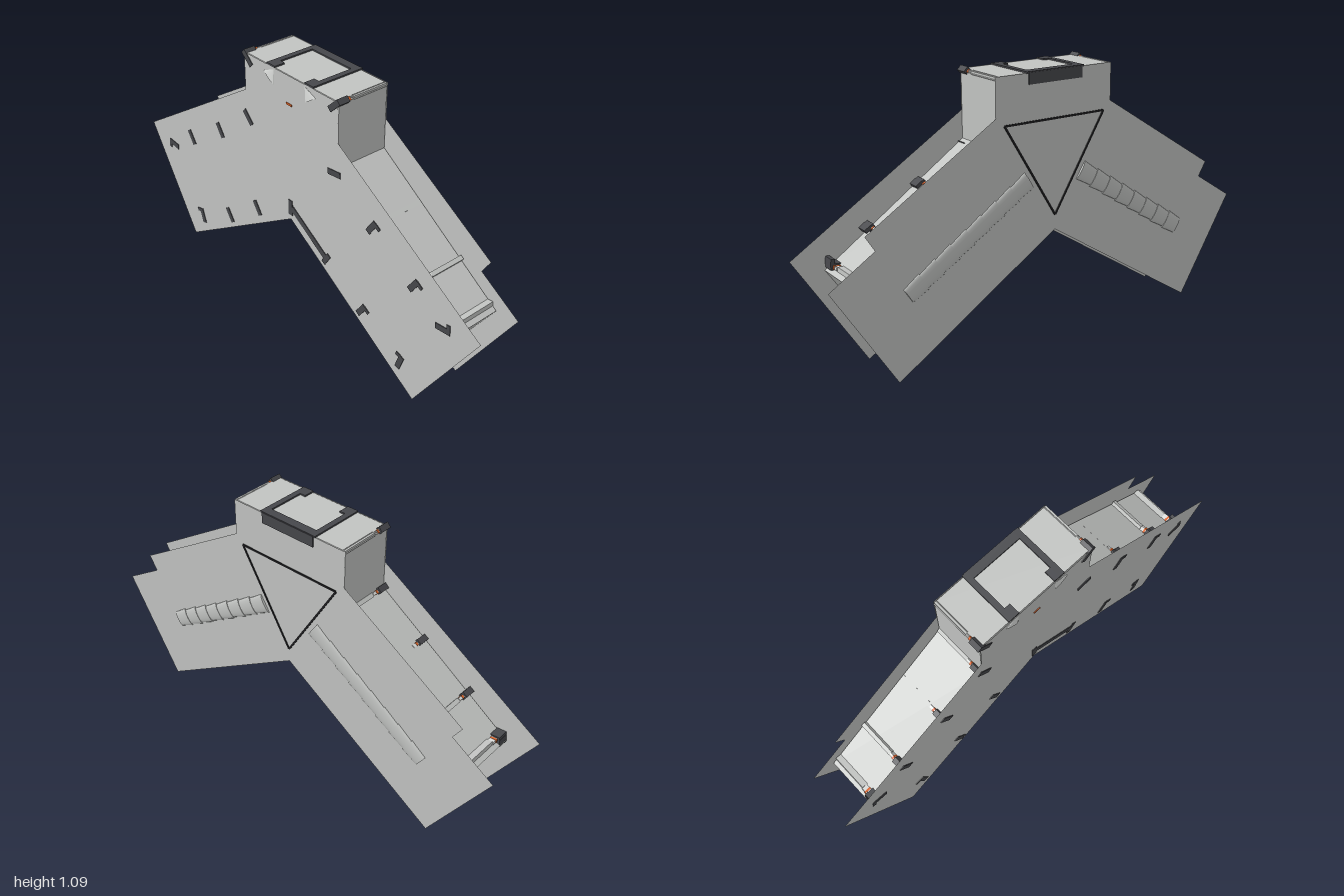
import * as THREE from 'three';

const mat = (name, color, side = THREE.FrontSide) => {
  const m = new THREE.MeshStandardMaterial({ color, side });
  m.name = name;
  return m;
};

export function createModel() {
  const root = new THREE.Group();
  root.name = 'model';
  const grey = mat('lightGrey', 0xc2c4c2, THREE.DoubleSide);
  const dark = mat('darkGrey', 0x46474b);
  const black = mat('black', 0x1c1c1e);
  const orange = mat('orange', 0xe0662a);
  const white = mat('paleGrey', 0xdcdedc);
  const FRONT = 0.124, BACK = -0.114;

  const add = (name, geo, material, x = 0, y = 0, z = 0, parent = root) => {
    const m = new THREE.Mesh(geo, material);
    m.name = name;
    m.position.set(x, y, z);
    parent.add(m);
    return m;
  };
  // Box between depths z0 and z1, turned by an angle in the front plane
  const bar = (name, material, x, y, w, h, z0, z1, angle = 0, parent = root) => {
    const m = add(name, new THREE.BoxGeometry(w, h, z1 - z0), material, x, y, (z0 + z1) / 2, parent);
    m.rotation.z = angle;
    return m;
  };
  // Symmetrical outline from its +x half, listed from top to bottom centre
  const outline = (half) => {
    const left = half.filter((p) => p[0] > 0).map(([x, y]) => [-x, y]).reverse();
    return new THREE.Shape([...half, ...left].map(([x, y]) => new THREE.Vector2(x, y)));
  };

  // Front and back plates overhang the walls of the inner body
  add('frontPlate', new THREE.ShapeGeometry(outline([
    [0.27, 1.08], [0.27, 0.92], [1, 0.465], [0.71, 0], [0, 0.45],
  ])), grey, 0, 0, FRONT);
  add('backPlate', new THREE.ShapeGeometry(outline([
    [0.27, 1.08], [0.27, 0.93], [0.82, 0.59], [0.783, 0.53], [0.967, 0.415], [0.71, 0], [0, 0.45],
  ])), grey, 0, 0, BACK);
  add('bodyWalls', new THREE.ExtrudeGeometry(outline([
    [0.27, 1.08], [0.27, 0.81], [0.87, 0.405], [0.65, 0.08], [0, 0.5],
  ]), { depth: FRONT - BACK - 0.008, bevelEnabled: false }), grey, 0, 0, BACK + 0.004);

  // Rib: pale strip across the wall, dark head showing through the front plate
  const rib = (x, y, angle, hook = 0) => {
    const g = new THREE.Group();
    g.name = 'rib';
    g.position.set(x, y, 0);
    g.rotation.z = angle;
    root.add(g);
    bar('ribStrip', grey, 0, 0, 0.045, 0.018, BACK + 0.004, 0.05, 0, g);
    bar('ribNeck', white, 0, 0, 0.052, 0.012, 0.05, 0.08, 0, g);
    bar('ribHead', dark, 0, 0, 0.068, 0.024, 0.078, 0.127, 0, g);
    bar('ribLight', orange, 0, 0, 0.056, 0.014, 0.066, 0.074, 0, g);
    if (hook) bar('ribHook', dark, 0.028, hook * 0.015, 0.016, 0.03, 0.078, 0.127, 0, g);
  };
  for (const s of [-1, 1]) {
    const turned = (a) => (s > 0 ? a : Math.PI - a);
    const hook = s > 0 ? -1 : 0;
    rib(s * 0.46, 0.655, turned(0.98), hook);
    rib(s * 0.68, 0.525, turned(0.98), hook);
    rib(s * 0.42, 0.25, turned(0.98), hook);
    rib(s * 0.635, 0.135, turned(1.25), 1);
    rib(s * 0.83, 0.425, turned(0.1), 1);
    rib(s * 0.25, 1.06, turned(0.75));
  }
  rib(-0.26, 0.8, 2.35);
  rib(0.255, 0.785, 0.12);
  rib(-0.22, 0.39, 2.16);
  rib(0, 0.505, Math.PI / 2);

  // Long dark sill under one wing
  bar('sill', dark, 0.115, 0.44, 0.25, 0.026, 0.078, 0.127, -0.56);
  bar('sillEnd', dark, 0.215, 0.375, 0.06, 0.022, 0.078, 0.127, 1.0);

  // Dark frame of the hatch on the roof
  for (const s of [-1, 1]) {
    bar('hatchSide', dark, s * 0.122, 1.082, 0.024, 0.008, -0.116, 0.122);
    bar('hatchCorner', dark, s * 0.1, 1.082, 0.03, 0.008, 0.075, 0.122);
    // Small lamps at the top of the front
    const lamp = add('lamp', new THREE.ConeGeometry(0.035, 0.055, 12), white, s * 0.105, 1.05, FRONT);
    lamp.scale.z = 0.1;
    lamp.rotation.z = s * 0.6;
  }
  bar('hatchBack', dark, 0, 1.082, 0.25, 0.008, -0.116, -0.08);
  bar('hatchBackLip', dark, 0, 1.06, 0.25, 0.045, -0.118, -0.113);
  bar('frontMarker', orange, 0, 0.963, 0.03, 0.008, 0.122, 0.127);

  // Triangular seam on the back
  const tri = [[0.235, 0.895], [-0.235, 0.895], [0, 0.51]];
  tri.forEach(([x, y], i) => {
    const [u, v] = tri[(i + 1) % 3];
    bar('backSeam', black, (x + u) / 2, (y + v) / 2, Math.hypot(u - x, v - y), 0.008,
      -0.117, -0.113, Math.atan2(v - y, u - x));
  });

  // Segmented ducts along the back of each wing
  const COUNT = 8;
  for (const s of [-1, 1]) {
    const a = new THREE.Vector2(s * 0.125, 0.67), b = new THREE.Vector2(s * 0.66, 0.33);
    const dir = b.clone().sub(a);
    const len = dir.length() / COUNT;
    for (let i = 0; i < COUNT; i++) {
      const p = a.clone().addScaledVector(dir, (i + 0.5) / COUNT);
      const seg = add('ductSegment', new THREE.CylinderGeometry(0.034, 0.04, len, 16), grey, p.x, p.y, BACK);
      seg.rotation.z = dir.angle() - Math.PI / 2;
      seg.scale.z = 0.24;
    }
  }
  return root;
}
